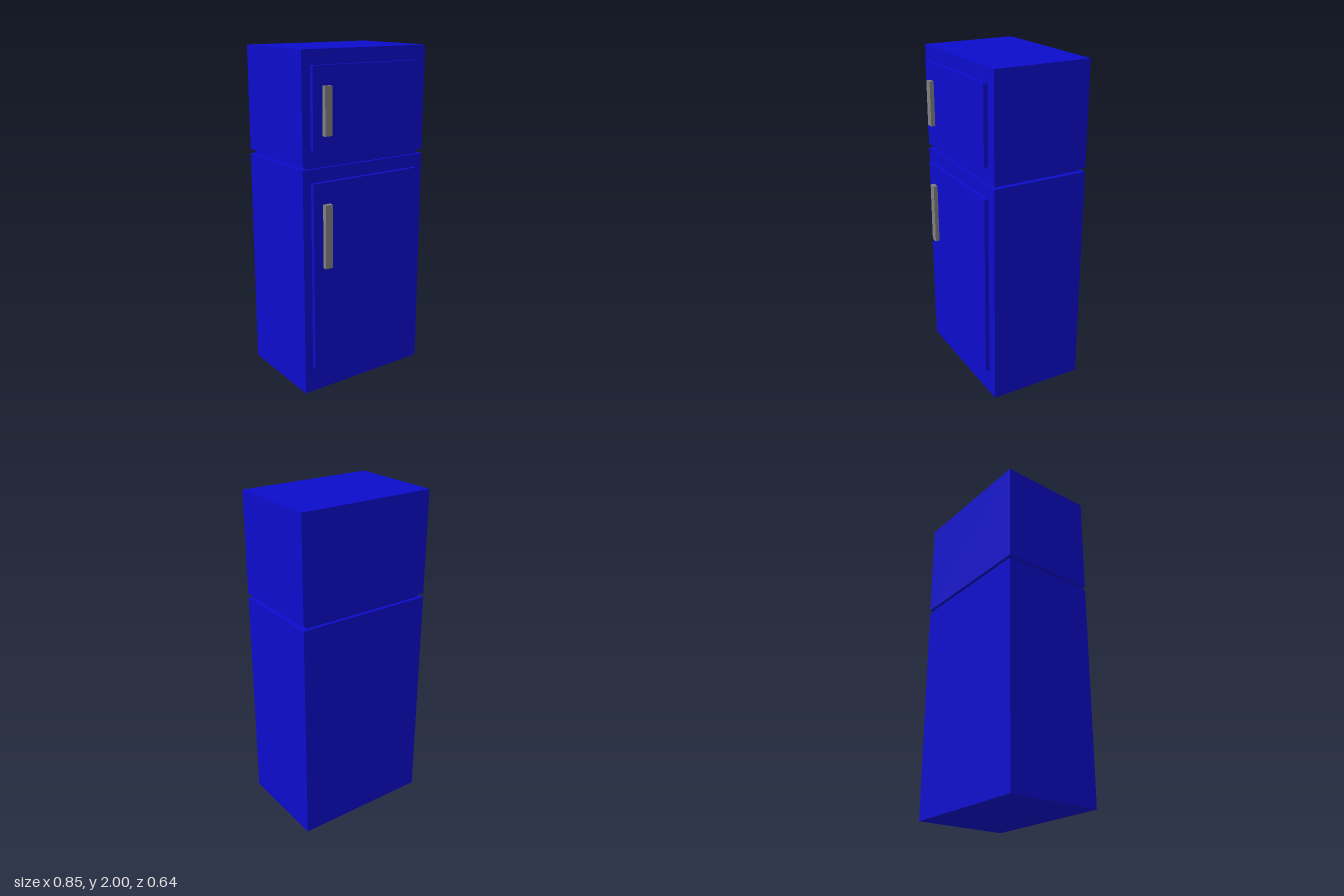
import * as THREE from 'three';

const blue = new THREE.MeshStandardMaterial({ color: 0x0c0ccc });
const grey = new THREE.MeshStandardMaterial({ color: 0x808080 });

// Box given by its extents along each axis
function block(name, material, [x0, x1], [y0, y1], [z0, z1]) {
  const mesh = new THREE.Mesh(new THREE.BoxGeometry(x1 - x0, y1 - y0, z1 - z0), material);
  mesh.position.set((x0 + x1) / 2, (y0 + y1) / 2, (z0 + z1) / 2);
  mesh.name = name;
  return mesh;
}

// Cabinet with a raised door panel and a handle on the panel
function compartment(name, bodyY, panelY, handleY) {
  const group = new THREE.Group();
  group.name = name;
  group.add(
    block('cabinet', blue, [-0.426, 0.426], bodyY, [-0.321, 0.27]),
    block('doorPanel', blue, [-0.373, 0.357], panelY, [0.26, 0.295]),
    block('handle', grey, [-0.311, -0.264], handleY, [0.29, 0.321])
  );
  return group;
}

export function createModel() {
  const model = new THREE.Group();
  model.name = 'refrigerator';
  model.add(
    compartment('fridge', [0, 1.357], [0.16, 1.28], [0.78, 1.155]),
    compartment('freezer', [1.382, 2], [1.465, 1.917], [1.54, 1.81]),
    // Recessed seam between the two compartments
    block('seam', blue, [-0.4, 0.396], [1.35, 1.39], [-0.3, 0.253])
  );
  return model;
}
